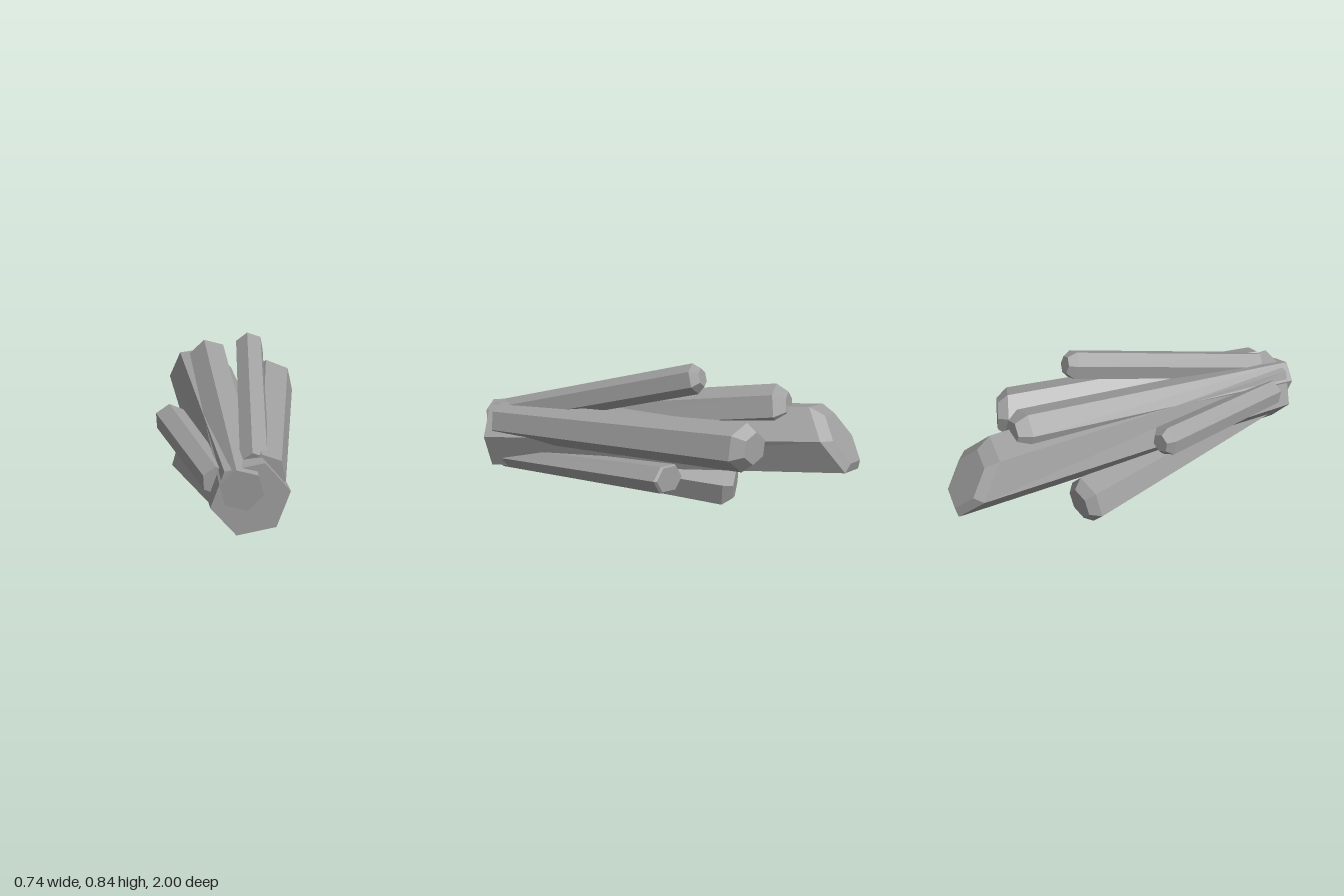
import * as THREE from 'three';

// One hexagonal crystal: a tapered prism between two centres, closed by a bevelled tip.
// phase turns the hexagon; tip is [length, radius ratio]; cut skews the end in x and y.
function crystal(name, material, { from, to, r0, r1, phase, tip, cut = [0, 0] }) {
  const sides = 6;
  const a = new THREE.Vector3(...from);
  const b = new THREE.Vector3(...to);
  const axis = b.clone().sub(a).normalize();
  const c = b.clone().addScaledVector(axis, tip[0]);

  // Ring square to the axis, with an optional extra slant
  const ring = (centre, radius, slant) => Array.from({ length: sides }, (_, i) => {
    const t = THREE.MathUtils.degToRad(phase) + (i / sides) * Math.PI * 2;
    const dx = Math.cos(t) * radius;
    const dy = Math.sin(t) * radius;
    const dz = -(dx * axis.x + dy * axis.y) / axis.z + dx * slant[0] + dy * slant[1];
    return new THREE.Vector3(centre.x + dx, centre.y + dy, centre.z + dz);
  });
  const rings = [ring(a, r0, [0, 0]), ring(b, r1, cut), ring(c, r1 * tip[1], cut)];

  const points = [];
  for (let i = 0; i < sides; i++) {
    const j = (i + 1) % sides;
    points.push(a, rings[0][i], rings[0][j]);
    for (let k = 0; k < 2; k++) {
      const p = rings[k], q = rings[k + 1];
      points.push(p[i], q[i], q[j], p[i], q[j], p[j]);
    }
    points.push(c, rings[2][j], rings[2][i]);
  }
  const geometry = new THREE.BufferGeometry().setFromPoints(points);
  geometry.computeVertexNormals();
  const mesh = new THREE.Mesh(geometry, material);
  mesh.name = name;
  return mesh;
}

export function createModel() {
  const group = new THREE.Group();
  group.name = 'crystalCluster';
  const stone = new THREE.MeshStandardMaterial({ color: 0xa0a0a0 });
  stone.name = 'greyStone';

  const crystals = {
    // Thick central shaft with a slanted end
    mainCrystal: { from: [0.067, 0.32, 0.943], to: [-0.133, 0.463, -0.87], r0: 0.187, r1: 0.178, phase: 10, tip: [0.045, 0.72], cut: [0.1, 0.62] },
    // Long shaft lying on top of the main one
    upperCrystal: { from: [0.025, 0.378, 0.985], to: [-0.088, 0.612, -0.585], r0: 0.105, r1: 0.11, phase: 44, tip: [0.06, 0.6] },
    // Slim raised spike
    raisedCrystal: { from: [0.09, 0.45, 0.86], to: [0.118, 0.767, -0.22], r0: 0.073, r1: 0.075, phase: 40, tip: [0.04, 0.6] },
    // Spikes on the +x side
    leftCrystal: { from: [0.138, 0.42, 0.88], to: [0.252, 0.49, -0.53], r0: 0.098, r1: 0.123, phase: 42, tip: [0.055, 0.65], cut: [0.28, 0] },
    lowerLeftCrystal: { from: [0.135, 0.22, 0.86], to: [0.205, 0.25, -0.105], r0: 0.06, r1: 0.081, phase: 4, tip: [0.012, 0.9], cut: [0.45, 0] },
    // Spikes on the -x side
    rightCrystal: { from: [-0.085, 0.385, 0.86], to: [-0.3, 0.46, 0.095], r0: 0.07, r1: 0.081, phase: 33, tip: [0.035, 0.6] },
    lowerRightCrystal: { from: [0.04, 0.225, 0.86], to: [-0.172, 0.125, -0.285], r0: 0.092, r1: 0.128, phase: 13, tip: [0.05, 0.65] },
  };
  for (const [name, spec] of Object.entries(crystals)) group.add(crystal(name, stone, spec));
  return group;
}
